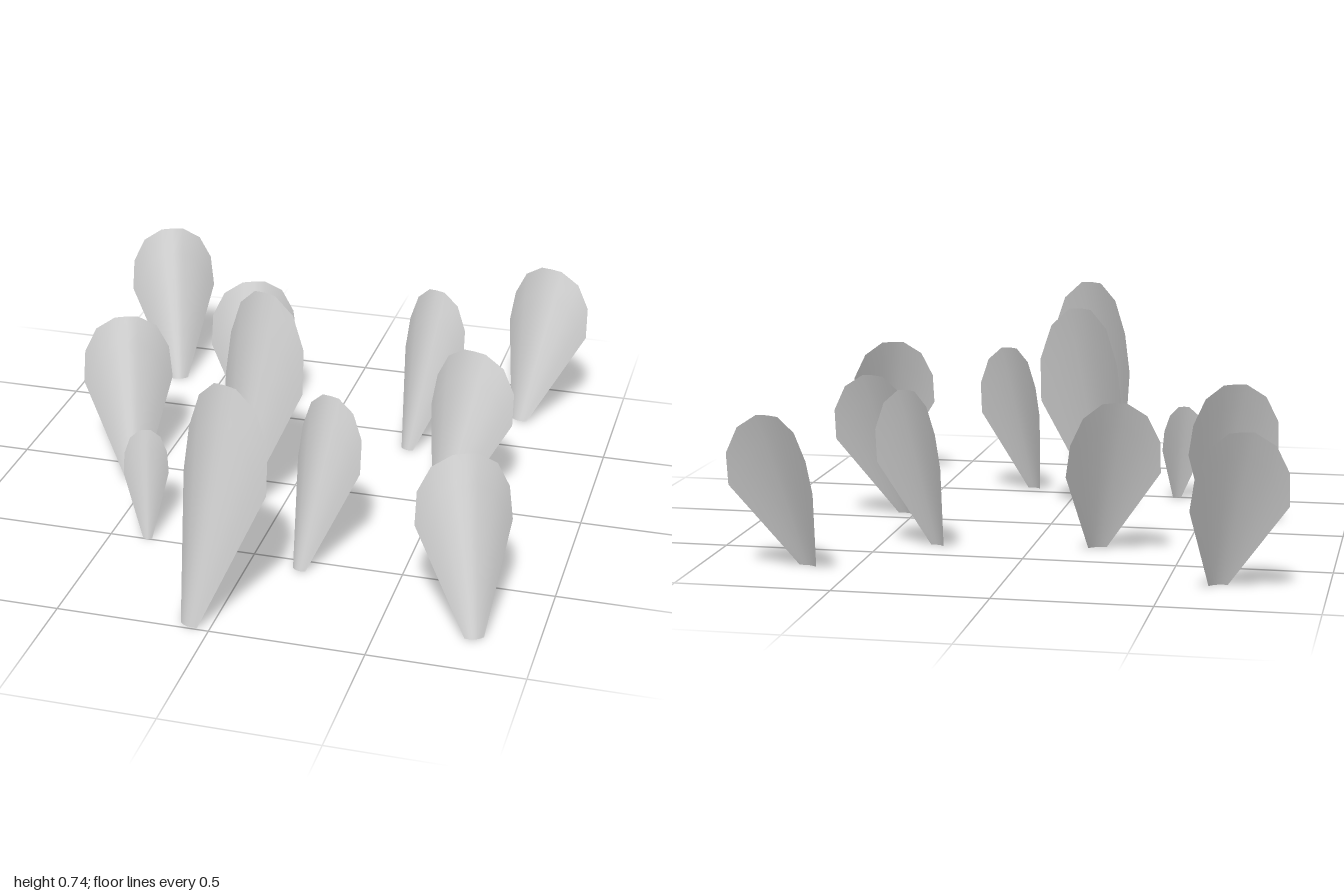
import * as THREE from 'three';

const material = new THREE.MeshStandardMaterial({ color: 0xcccccc, side: THREE.DoubleSide });

// Right half of the petal rim, from top centre out to the side: x, y, z
const halfRim = [
  [0.04, 0.74, -0.222],
  [0.105, 0.68, -0.232],
  [0.147, 0.56, -0.234],
  [0.156, 0.41, -0.212],
];

// Curved petal: straight rays fan out from a small foot to the rounded rim
function petalGeometry() {
  const rim = [
    ...halfRim.map(([x, y, z]) => [-x, y, z]).reverse(),
    [0, 0.743, -0.221],
    ...halfRim,
  ];
  const rows = 6, cols = rim.length;
  const positions = [], index = [];
  for (let r = 0; r <= rows; r++) {
    const t = r / rows;
    rim.forEach(([x, y, z], c) => {
      const u = (2 * c) / (cols - 1) - 1;
      const foot = [0.031 * u, 0, -0.009 * u * u];
      positions.push(
        foot[0] + (x - foot[0]) * t,
        y * t,
        foot[2] + (z - foot[2]) * t,
      );
    });
  }
  for (let r = 0; r < rows; r++) {
    for (let c = 0; c < cols - 1; c++) {
      const a = r * cols + c, b = a + 1, d = a + cols, e = d + 1;
      index.push(a, b, e, a, e, d);
    }
  }
  const geometry = new THREE.BufferGeometry();
  geometry.setAttribute('position', new THREE.Float32BufferAttribute(positions, 3));
  geometry.setIndex(index);
  geometry.computeVertexNormals();
  return geometry;
}

// Petal kinds: scale, turn in degrees, and foot positions (x, z)
const kinds = [
  { name: 'tallPetal', scale: [1, 1, 1], turn: -17.5, feet: [[-0.072, 0.99], [-0.156, 0.272]] },
  { name: 'shortPetalRight', scale: [1, 0.705, 1], turn: -16.5, feet: [[0.652, -0.708], [0.527, 0.074]] },
  {
    name: 'shortPetalLeft', scale: [1, 0.705, 1.06], turn: 23,
    feet: [[-0.657, -0.712], [-0.21, -0.3], [-0.548, 0.12], [0.805, 0.823]],
  },
  { name: 'narrowPetal', scale: [0.76, 0.742, 0.88], turn: -17, feet: [[0.31, -0.366], [0.167, 0.567]] },
  { name: 'smallPetal', scale: [0.48, 0.475, 0.48], turn: 19, feet: [[-0.37, 0.5]] },
];

export function createModel() {
  const model = new THREE.Group();
  model.name = 'scatteredPetals';
  const geometry = petalGeometry();
  for (const { name, scale, turn, feet } of kinds) {
    feet.forEach(([x, z], i) => {
      const petal = new THREE.Mesh(geometry, material);
      petal.name = `${name}${i + 1}`;
      petal.scale.set(...scale);
      petal.rotation.y = THREE.MathUtils.degToRad(turn);
      petal.position.set(x, 0, z);
      model.add(petal);
    });
  }
  return model;
}
